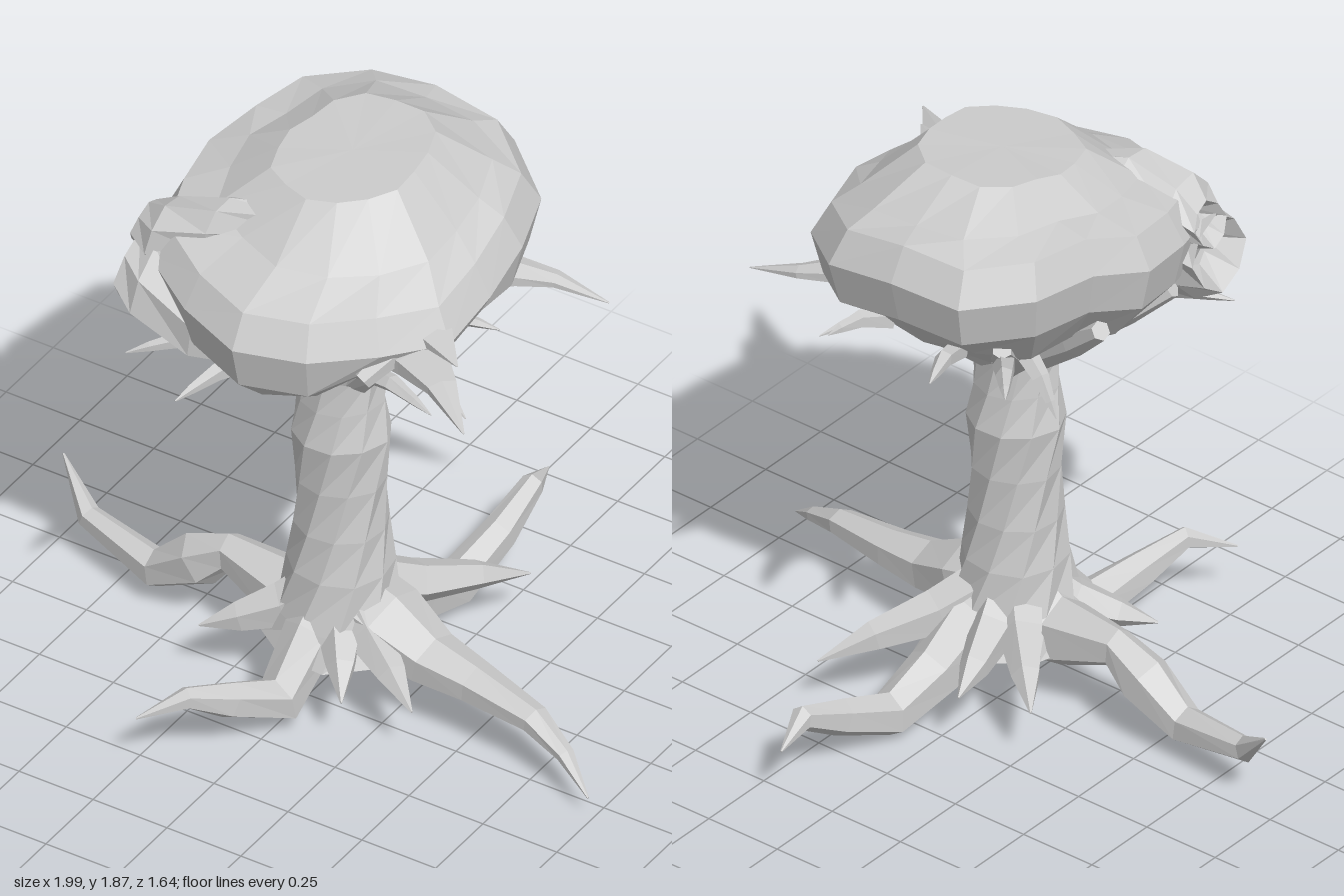
import * as THREE from 'three';

const material = new THREE.MeshStandardMaterial({ color: 0xcccccc, flatShading: true, side: THREE.DoubleSide });

// Skin a list of closed rings (arrays of Vector3), capping both ends.
function loft(name, rings) {
  const n = rings[0].length, pos = [], idx = [];
  rings.forEach(r => r.forEach(p => pos.push(p.x, p.y, p.z)));
  for (let i = 0; i < rings.length - 1; i++) {
    for (let j = 0; j < n; j++) {
      const a = i * n + j, b = i * n + (j + 1) % n;
      idx.push(a, b, b + n, a, b + n, a + n);
    }
  }
  [0, rings.length - 1].forEach(i => {
    const c = rings[i].reduce((s, p) => s.add(p), new THREE.Vector3()).divideScalar(n);
    const k = pos.length / 3;
    pos.push(c.x, c.y, c.z);
    for (let j = 0; j < n; j++) {
      const a = i * n + j, b = i * n + (j + 1) % n;
      if (i) idx.push(a, b, k); else idx.push(b, a, k);
    }
  });
  const g = new THREE.BufferGeometry();
  g.setAttribute('position', new THREE.Float32BufferAttribute(pos, 3));
  g.setIndex(idx);
  g.computeVertexNormals();
  const mesh = new THREE.Mesh(g, material);
  mesh.name = name;
  return mesh;
}

// Tapered limb through points [x, y, z, radius]; tall stretches its section upwards.
function limb(name, pts, sides = 6, tall = 1) {
  const P = pts.map(p => new THREE.Vector3(p[0], p[1], p[2]));
  const up = new THREE.Vector3(0.02, 1, 0.03);
  return loft(name, P.map((p, i) => {
    const t = P[Math.min(i + 1, P.length - 1)].clone().sub(P[Math.max(i - 1, 0)]).normalize();
    const u = up.clone().cross(t).normalize(), v = t.clone().cross(u);
    return Array.from({ length: sides }, (_, j) => {
      const a = (j + 0.5) / sides * Math.PI * 2, r = pts[i][3];
      return p.clone().addScaledVector(u, Math.cos(a) * r).addScaledVector(v, Math.sin(a) * r * tall);
    });
  }));
}

const X = 0.035, Z = 0.13; // trunk axis

function makeTrunk() {
  const profile = [[0.16, 0.12], [0.19, 0.23], [0.28, 0.19], [0.44, 0.158], [0.58, 0.14], [0.74, 0.134],
    [0.9, 0.144], [1.02, 0.124], [1.13, 0.12], [1.22, 0.16]];
  return loft('trunk', profile.map(([y, r]) => Array.from({ length: 10 }, (_, j) => {
    const a = j / 10 * Math.PI * 2 + y * 1.8; // bark twists upwards
    const q = r * (j % 5 === 0 ? 1.06 : 1);
    return new THREE.Vector3(X + Math.sin(a) * q, y, Z + Math.cos(a) * q);
  })));
}

function makeRoots() {
  const roots = new THREE.Group();
  roots.name = 'roots';
  // path and section height of each long root
  const main = [
    [1.15, [[0, 0.27, 0.13, 0.13], [-0.14, 0.23, 0.12, 0.1], [-0.36, 0.275, 0.1, 0.055], [-0.46, 0.21, 0.1, 0.075],
      [-0.61, 0.115, 0.1, 0.055], [-0.87, 0.165, 0.05, 0.035], [-1, 0.29, -0.02, 0.003]]],
    [0.8, [[0.06, 0.32, 0.13, 0.13], [0.2, 0.28, 0.14, 0.13], [0.36, 0.225, 0.16, 0.095], [0.52, 0.21, 0.175, 0.072],
      [0.74, 0.19, 0.21, 0.048], [0.87, 0.14, 0.25, 0.028], [0.985, 0.07, 0.31, 0.003]]],
    [1.1, [[0.05, 0.3, 0.1, 0.12], [0.08, 0.24, 0, 0.1], [0.1, 0.14, -0.16, 0.08], [0.12, 0.075, -0.34, 0.065],
      [0.15, 0.15, -0.53, 0.052], [0.16, 0.225, -0.69, 0.035], [0.13, 0.19, -0.82, 0.003]]],
    [1.1, [[0.03, 0.3, 0.17, 0.11], [0.02, 0.24, 0.27, 0.08], [0.01, 0.1, 0.42, 0.072], [-0.06, 0.17, 0.58, 0.052],
      [-0.12, 0.235, 0.71, 0.032], [-0.22, 0.19, 0.82, 0.003]]]
  ];
  main.forEach(([tall, p]) => roots.add(limb('mainRoot', p, 6, tall)));
  // shorter roots between the main ones: tip x, tip y, tip z
  [[0.42, 0.18, 0.36], [0.22, 0.17, 0.42], [-0.3, 0.2, 0.36], [-0.3, 0.19, -0.22],
    [0.35, 0.18, -0.38], [-0.1, 0.2, -0.3]].forEach(([x, y, z]) => {
    const at = (f, h, r) => [X + (x - X) * f, h, Z + (z - Z) * f, r];
    roots.add(limb('smallRoot', [at(0.12, 0.34, 0.08), at(0.4, 0.27, 0.07), at(0.72, 0.23, 0.045), at(1, y, 0.003)], 5));
  });
  return roots;
}

function makeCanopy() {
  const canopy = new THREE.Group();
  canopy.name = 'canopy';
  // plan radius, starting at the front and turning towards +x
  const plan = [0.57, 0.55, 0.54, 0.55, 0.51, 0.53, 0.59, 0.61, 0.57, 0.59, 0.54, 0.46, 0.49, 0.5, 0.56, 0.54];
  // spread, height (large values absolute, small ones relative to the rim)
  const rows = [[0.14, 1.16], [0.45, 1.24], [0.74, 1.32], [0.94, -0.14], [1, 0], [0.9, 0.1], [0.7, 1.73], [0.42, 1.845]];
  const crown = rows.map(([s, h], i) => plan.map((r, j) => {
    const a = j / 16 * Math.PI * 2, sx = Math.sin(a), cz = Math.cos(a);
    const rim = 1.58 - 0.07 * cz - 0.045 * sx + (j % 3 - 1) * 0.012;
    let y = Math.abs(h) > 1 ? h : rim + h;
    if (i === 2) y += (j % 2) * 0.025 - 0.04 * cz;
    if (i === 6) y -= 0.05 * cz + 0.03 * sx;
    if (i === 7) y -= 0.025 * cz - 0.01 * sx;
    // hollow on the +x side where the limbs show
    if (j > 1 && j < 5) y += [0.06, 0.2, 0.16, 0.08, 0, 0, 0, 0][i];
    const x = i < 3 ? X : i > 5 ? 0.03 : 0.01, z = i < 3 ? Z : i > 5 ? 0.07 : 0.1;
    return new THREE.Vector3(x + sx * r * s, y, z + cz * r * s);
  }));
  canopy.add(loft('crown', crown));
  // curled leaf flaps opening towards -x: rings of x, y, z, radius
  [[[0, 1.3, 0.36, 0.06], [-0.2, 1.4, 0.44, 0.13], [-0.38, 1.47, 0.45, 0.135], [-0.46, 1.49, 0.44, 0.11], [-0.36, 1.47, 0.44, 0.05]],
    [[0, 1.68, 0.24, 0.06], [-0.22, 1.67, 0.37, 0.09], [-0.38, 1.62, 0.41, 0.1], [-0.46, 1.61, 0.4, 0.065], [-0.4, 1.6, 0.4, 0.03]]
  ].forEach(rings => canopy.add(loft('leafFlap', rings.map(([x, y, z, r], i) => Array.from({ length: 8 }, (_, j) => {
    const a = (j + i * 0.3) / 8 * Math.PI * 2, q = r * (1 + 0.1 * (j % 2));
    return new THREE.Vector3(x + 0.02 * Math.sin(a), y + Math.sin(a) * q, z + Math.cos(a) * q);
  })))));
  // broad pointed leaves layered along the +x edge
  [[[0.26, 1.44, 0.28, 0.12], [0.46, 1.46, 0.37, 0.09], [0.58, 1.46, 0.45, 0.05], [0.73, 1.43, 0.57, 0.003]],
    [[0.25, 1.5, 0.2, 0.12], [0.45, 1.52, 0.3, 0.07], [0.6, 1.51, 0.4, 0.003]],
    [[0.25, 1.42, -0.1, 0.1], [0.42, 1.4, -0.2, 0.06], [0.52, 1.38, -0.25, 0.035], [0.68, 1.34, -0.28, 0.003]]
  ].forEach(p => canopy.add(limb('broadLeaf', p, 6, 0.5)));
  return canopy;
}

function makeBranches() {
  const branches = new THREE.Group();
  branches.name = 'branches';
  // limbs from the trunk into the crown: end point, radius
  [[-0.4, 1.42, 0.3, 0.06], [-0.38, 1.42, 0, 0.06], [-0.22, 1.42, -0.25, 0.06], [0.2, 1.42, -0.28, 0.06],
    [0.42, 1.5, 0.06, 0.05], [0.02, 1.36, 0.46, 0.06]].forEach(([x, y, z, r]) => {
    const at = (f, lift, q) => [X + (x - X) * f, 1.08 + (y - 1.08) * f + lift, Z + (z - Z) * f, q];
    branches.add(limb('branch', [at(0, 0, r), at(0.3, 0.01, r), at(0.7, 0, r * 0.8), at(1, 0, r * 0.5)], 6));
  });
  // heavy limb arching over the hollow
  branches.add(limb('archedBranch', [[0.05, 1.08, 0.13, 0.07], [0.2, 1.25, 0.2, 0.06], [0.35, 1.45, 0.34, 0.05],
    [0.38, 1.48, 0.42, 0.045], [0.34, 1.42, 0.5, 0.03]]));
  // pointed twigs: root point, tip
  [[0.38, 1.4, 0.32, 0.66, 1.38, 0.45], [-0.1, 1.4, -0.3, -0.18, 1.43, -0.53], [-0.22, 1.36, -0.24, -0.4, 1.43, -0.46],
    [0.15, 1.4, -0.3, 0.23, 1.4, -0.48], [-0.08, 1.27, 0.4, -0.17, 1.26, 0.69], [-0.15, 1.28, 0.35, -0.42, 1.25, 0.56],
    [0.15, 1.24, 0.25, 0.46, 1.23, 0.32], [0.15, 1.28, 0.02, 0.45, 1.29, -0.06], [0.2, 1.3, -0.05, 0.36, 1.28, -0.36],
    [-0.18, 1.32, -0.1, -0.33, 1.17, -0.14]
  ].forEach(([a, b, c, x, y, z]) => {
    const at = (f, lift, r) => [a + (x - a) * f, b + (y - b) * f + lift, c + (z - c) * f, r];
    branches.add(limb('twig', [at(0, 0, 0.035), at(0.5, 0.025, 0.027), at(0.8, 0.012, 0.015), at(1, 0, 0.002)], 5));
  });
  return branches;
}

export function createModel() {
  const tree = new THREE.Group();
  tree.name = 'tree';
  tree.add(makeTrunk(), makeRoots(), makeCanopy(), makeBranches());
  return tree;
}
